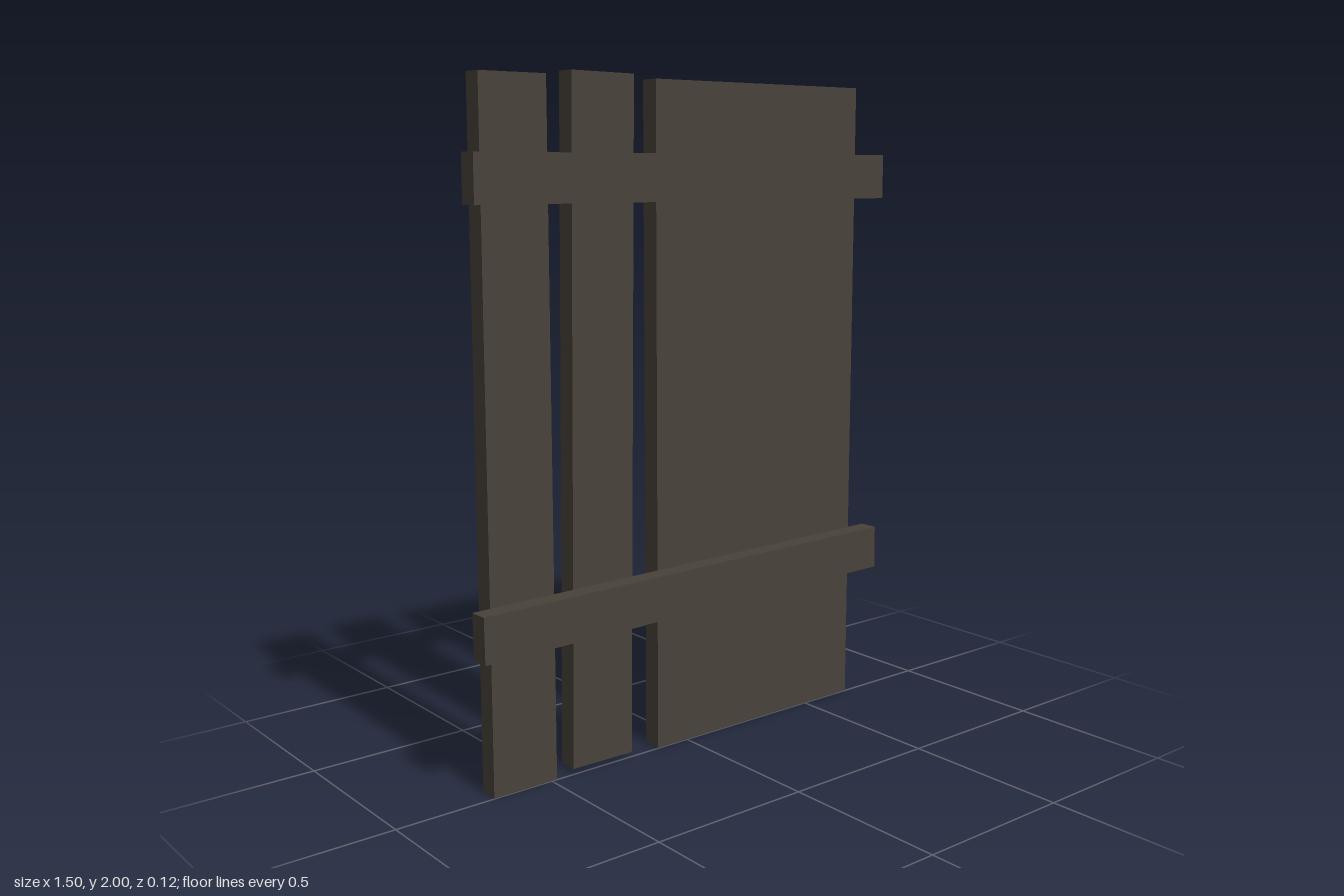
import * as THREE from 'three';

export function createModel() {
  const model = new THREE.Group();
  model.name = 'plankDoor';

  const wood = new THREE.MeshStandardMaterial({ color: 0x48423a });
  wood.name = 'dark weathered wood';

  const THICK = 0.059; // all boards share one thickness
  const DEPTH = 0.0325; // board centre distance from the middle plane
  const TILT = 0.0118; // slight lean of the loose boards

  function board(name, width, height, x, y, z, tilt = 0) {
    const mesh = new THREE.Mesh(new THREE.BoxGeometry(width, height, THICK), wood);
    mesh.name = name;
    mesh.position.set(x, y, z);
    mesh.rotation.z = tilt;
    model.add(mesh);
  }

  // Upright boards at the back
  board('rightPlank', 0.211, 1.987, -0.586, 0.9935, -DEPTH);
  board('leaningPlank', 0.211, 1.985, -0.305, 1.0063, -DEPTH, -TILT);
  board('widePanel', 0.8, 1.987, 0.289, 0.9935, -DEPTH);

  // Cross battens at the front
  board('upperBatten', 1.5, 0.135, 0, 1.712, DEPTH);
  board('lowerBatten', 1.5, 0.135, 0, 0.493, DEPTH, TILT);

  return model;
}
